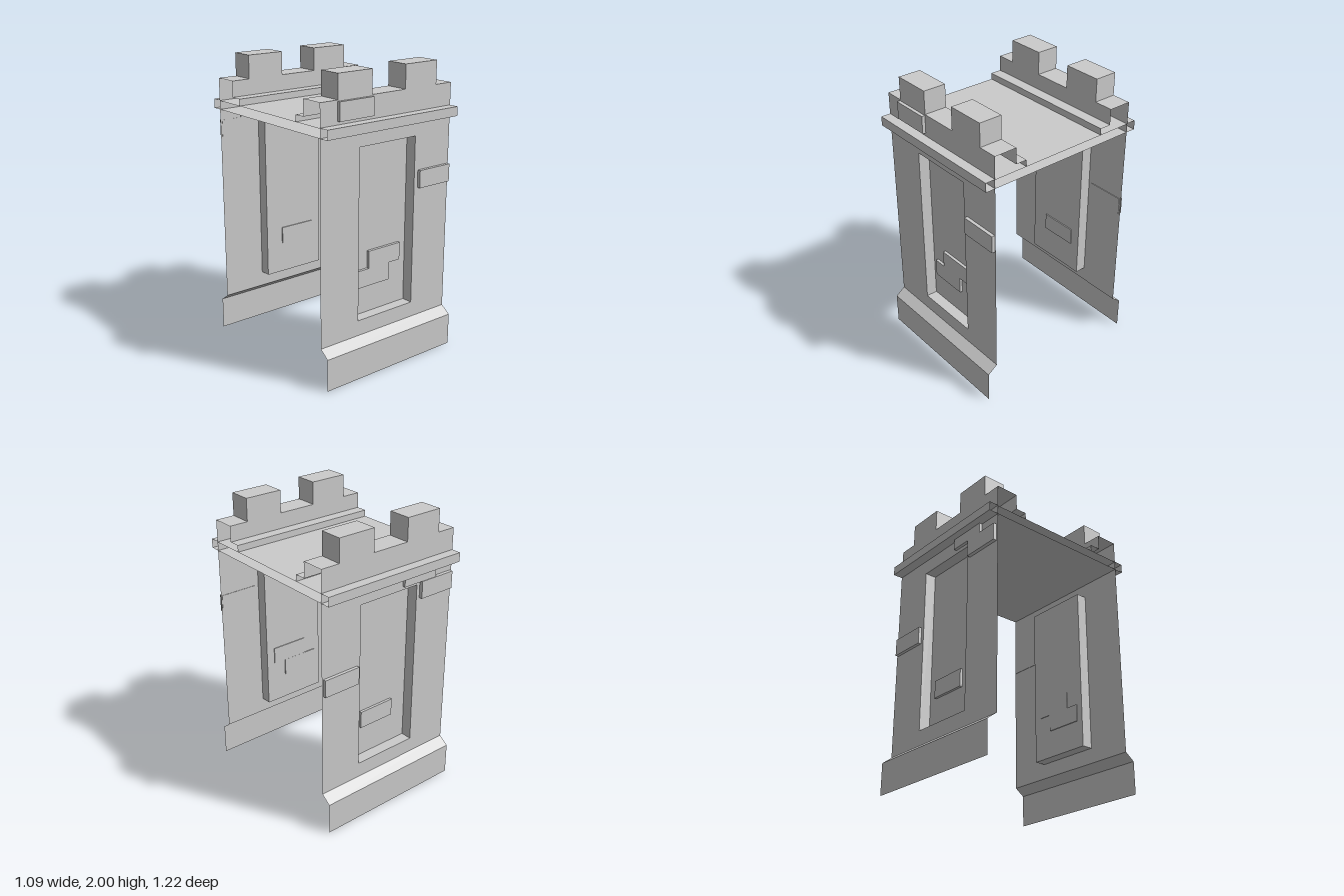
import * as THREE from 'three';

const W = 0.5425; // half width of the gatehouse
const material = new THREE.MeshStandardMaterial({ color: 0xcccccc, flatShading: true, side: THREE.DoubleSide });

function add(parent, name, geometry, x = 0, y = 0, z = 0) {
  const mesh = new THREE.Mesh(geometry, material);
  mesh.name = name;
  mesh.position.set(x, y, z);
  parent.add(mesh);
  return mesh;
}

// Flat quads joining two matching lines of points
function ribbon(a, b) {
  const points = [];
  for (let i = 0; i < a.length - 1; i++) {
    for (const p of [a[i], b[i], b[i + 1], a[i], b[i + 1], a[i + 1]]) points.push(...p);
  }
  const geometry = new THREE.BufferGeometry();
  geometry.setAttribute('position', new THREE.Float32BufferAttribute(points, 3));
  geometry.computeVertexNormals();
  return geometry;
}

// Open-ended moulding: a [z, y] profile swept across the full width
function moulding(profile) {
  return ribbon(profile.map(([z, y]) => [-W, y, z]), profile.map(([z, y]) => [W, y, z]));
}

function rectangle(path, x0, y0, x1, y1) {
  path.moveTo(x0, y0);
  path.lineTo(x1, y0);
  path.lineTo(x1, y1);
  path.lineTo(x0, y1);
  path.closePath();
  return path;
}

// One facade, facing +z; bricks are [x, y, z] centres
function createFacade(name, bricks) {
  const facade = new THREE.Group();
  facade.name = name;

  add(facade, 'plinth', moulding([[0.61, 0], [0.61, 0.22], [0.542, 0.27]]));

  // Wall sheet with an opening for the recess
  const rx = 0.235, y0 = 0.375, y1 = 1.53;
  const wall = rectangle(new THREE.Shape(), -W, 0.27, W, 1.69);
  wall.holes.push(rectangle(new THREE.Path(), -rx, y0, rx, y1));
  add(facade, 'wall', new THREE.ShapeGeometry(wall), 0, 0, 0.542);

  // Recessed panel and its reveal
  const loop = [[rx, y0], [-rx, y0], [-rx, y1], [rx, y1], [rx, y0]];
  add(facade, 'recessReveal', ribbon(loop.map(([x, y]) => [x, y, 0.542]), loop.map(([x, y]) => [x, y, 0.464])));
  add(facade, 'recessPanel', new THREE.PlaneGeometry(2 * rx, y1 - y0), 0, (y0 + y1) / 2, 0.464);

  add(facade, 'cornice', moulding([[0.542, 1.63], [0.61, 1.63], [0.61, 1.693], [0.542, 1.693]]));
  add(facade, 'parapet', moulding([
    [0.542, 1.69], [0.542, 1.843], [0.383, 1.843], [0.383, 1.735], [0.305, 1.735], [0.305, 1.69],
  ]));

  for (const x of [-0.272, 0.272]) {
    add(facade, 'merlon', new THREE.BoxGeometry(0.27, 0.157, 0.159), x, 1.9215, 0.4625);
  }

  // Raised bricks, set slightly through the wall
  for (const [x, y, z] of bricks) {
    add(facade, 'brick', new THREE.BoxGeometry(0.27, 0.12, 0.026), x, y, z);
  }
  return facade;
}

export function createModel() {
  const model = new THREE.Group();
  model.name = 'gatehouse';

  model.add(createFacade('frontFacade', [
    [-0.275, 1.775, 0.552], [0.4, 1.24, 0.552], [0.038, 0.745, 0.471], [-0.055, 0.625, 0.47],
  ]));

  const back = createFacade('backFacade', [
    [0.245, 1.615, 0.55], [0.395, 1.495, 0.554], [-0.395, 1.06, 0.551], [-0.03, 0.653, 0.469],
  ]);
  back.rotation.y = Math.PI;
  model.add(back);

  // Roof deck and the ceiling below it
  add(model, 'roof', moulding([[0.542, 1.69], [-0.542, 1.69]]));
  add(model, 'ceiling', moulding([[-0.542, 1.63], [0.542, 1.63]]));
  return model;
}
